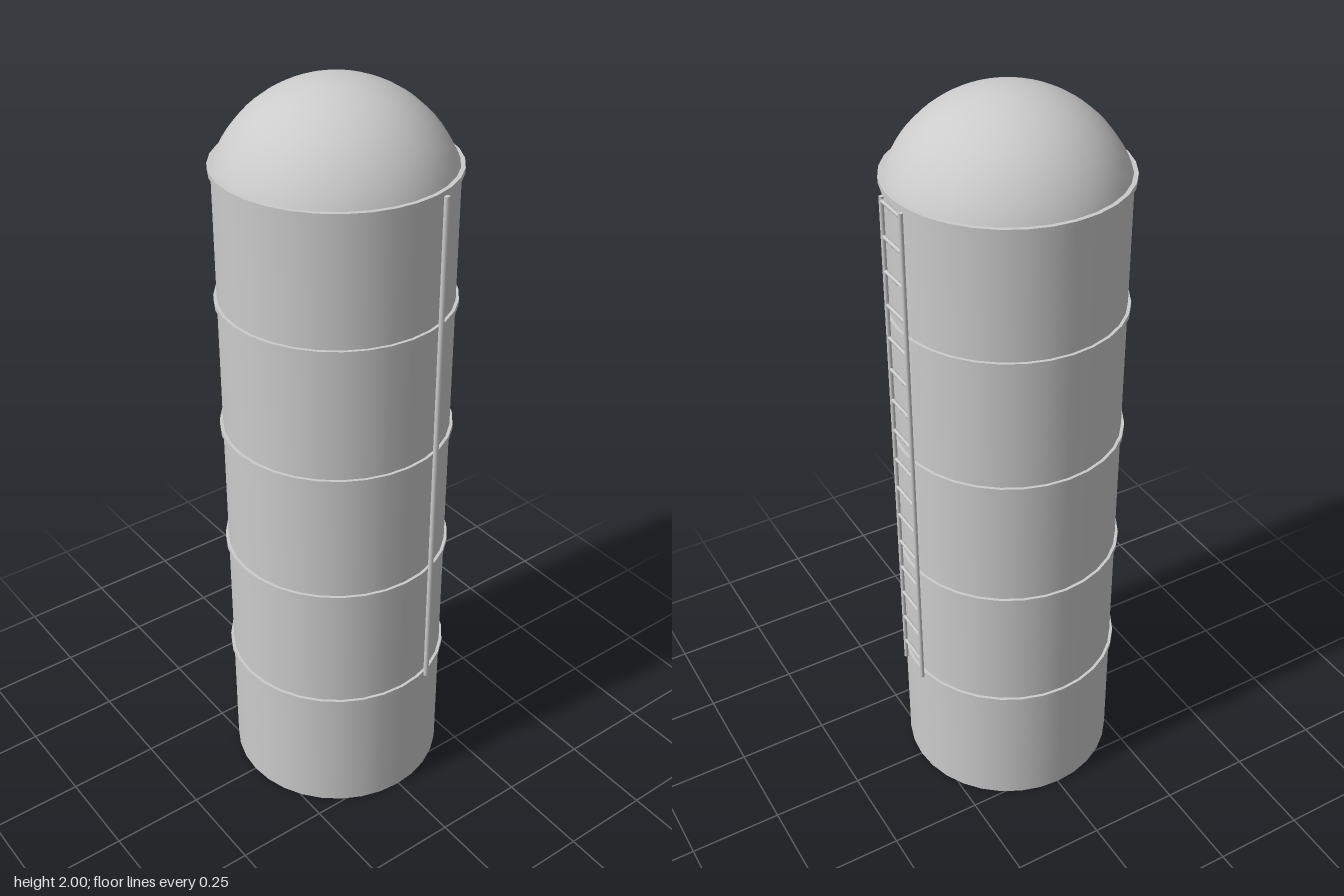
import * as THREE from 'three';

const SIDES = 32, RADIUS = 0.293, WALL_TOP = 1.795, CENTRE_Z = 0.003;
const RAIL_BOTTOM = 0.367, RAIL_TOP = 1.79;

export function createModel() {
  const model = new THREE.Group();
  const material = new THREE.MeshStandardMaterial({ color: 0xcccccc });

  const add = (name, geometry, x, y, z, parent = model) => {
    const mesh = new THREE.Mesh(geometry, material);
    mesh.name = name;
    mesh.position.set(x, y, z);
    parent.add(mesh);
    return mesh;
  };

  // Upright cylindrical tank wall with a closed floor
  add('tankWall', new THREE.CylinderGeometry(RADIUS, RADIUS, WALL_TOP, SIDES), 0, WALL_TOP / 2, CENTRE_Z);

  // Domed roof: a spherical cap sitting on the wall
  const rise = 2 - WALL_TOP;
  const domeRadius = (RADIUS ** 2 + rise ** 2) / (2 * rise);
  const capAngle = Math.asin(RADIUS / domeRadius);
  add('domeRoof', new THREE.SphereGeometry(domeRadius, SIDES, 14, 0, Math.PI * 2, 0, capAngle),
    0, 2 - domeRadius, CENTRE_Z);

  // Flat hoops around the wall
  const hoop = new THREE.CylinderGeometry(0.301, 0.301, 0.014, SIDES);
  for (const y of [0.373, 0.733, 1.094, 1.454, 1.795]) add('hoop', hoop, 0, y, CENTRE_Z);

  // Ladder up the back
  const ladder = new THREE.Group();
  ladder.name = 'ladder';
  ladder.position.set(-0.003, 0, -0.301);
  model.add(ladder);
  const length = RAIL_TOP - RAIL_BOTTOM, middle = (RAIL_TOP + RAIL_BOTTOM) / 2;
  const rail = new THREE.CylinderGeometry(0.006, 0.006, length, 8);
  for (const side of [-1, 1]) add('ladderRail', rail, side * 0.048, middle, 0, ladder);
  const rung = new THREE.CylinderGeometry(0.005, 0.005, 0.096, 8);
  for (let i = 0; i < 16; i++) {
    add('ladderRung', rung, 0, 0.43 + i * 0.09, 0, ladder).rotation.z = Math.PI / 2;
  }

  // Slim vertical pipe beside the ladder
  add('sidePipe', new THREE.CylinderGeometry(0.007, 0.007, length, 10), 0.29, middle, -0.089);

  return model;
}
